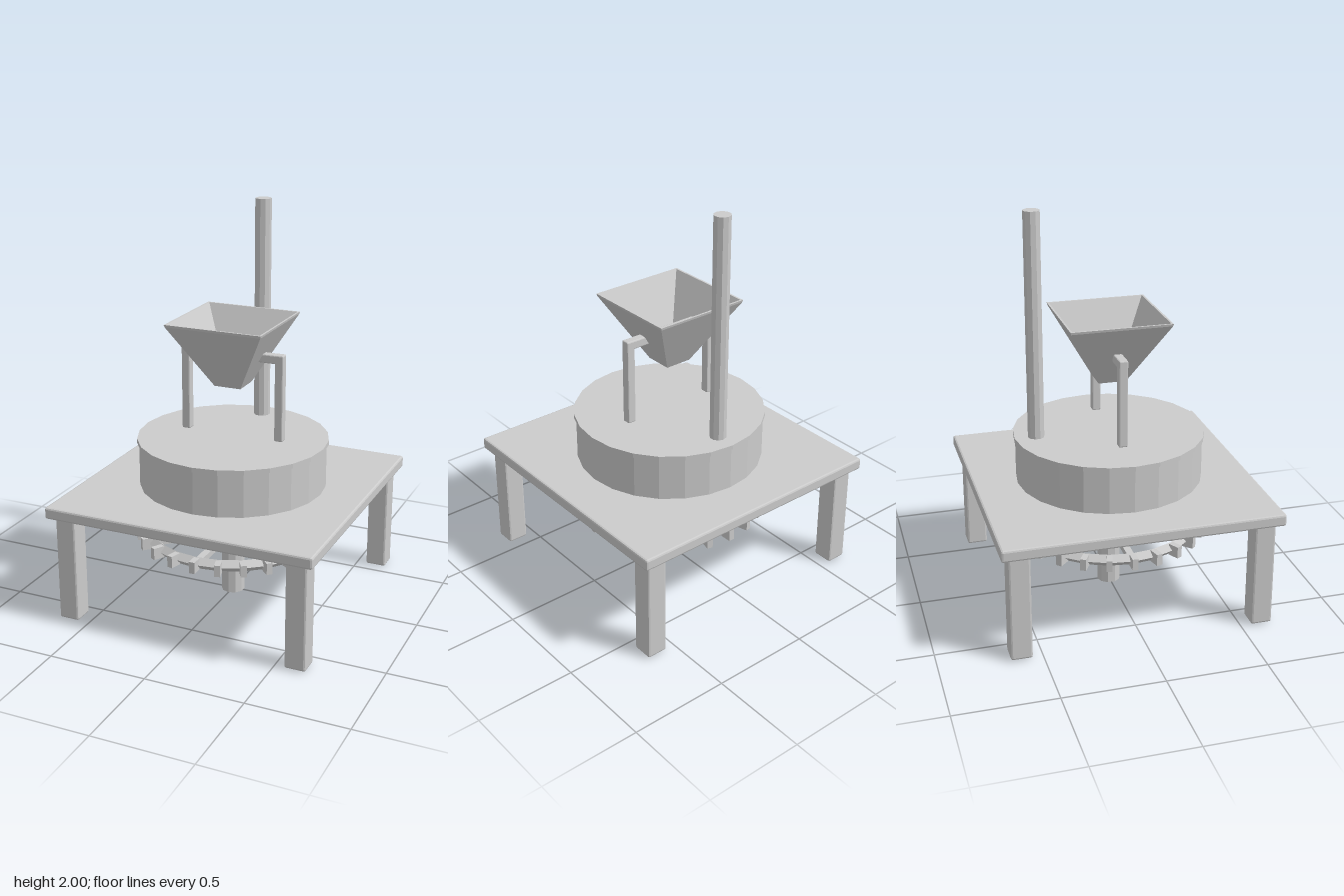
import * as THREE from 'three';
import { RoundedBoxGeometry } from 'three/addons/geometries/RoundedBoxGeometry.js';

const material = new THREE.MeshStandardMaterial({ color: 0xcccccc, flatShading: true });

export function createModel() {
  const model = new THREE.Group();
  model.name = 'millstoneTable';

  const add = (name, geometry, x = 0, y = 0, z = 0, parent = model) => {
    const mesh = new THREE.Mesh(geometry, material);
    mesh.name = name;
    mesh.position.set(x, y, z);
    parent.add(mesh);
    return mesh;
  };
  // Box with slightly chamfered edges
  const block = (w, h, d, bevel) => new RoundedBoxGeometry(w, h, d, 1, bevel);
  // Upright cylinder standing between two heights
  const column = (name, r, y0, y1, sides, z = 0) =>
    add(name, new THREE.CylinderGeometry(r, r, y1 - y0, sides), 0, (y0 + y1) / 2, z);

  // Table with four legs
  add('tableTop', block(1.39, 0.06, 1.39, 0.01), 0, 0.58, 0);
  for (const x of [-0.605, 0.605])
    for (const z of [-0.605, 0.605])
      add('tableLeg', block(0.106, 0.55, 0.106, 0.01), x, 0.28, z);

  // Millstone drum, its lid and the tall handle post
  column('drum', 0.475, 0.6, 0.835, 24);
  column('drumLid', 0.485, 0.832, 0.855, 24);
  column('handlePost', 0.042, 0.84, 2, 10, -0.375);

  // Drive shaft under the table
  column('driveShaft', 0.06, 0, 0.57, 10);

  // Toothed wheel: diamond-section rim, spokes and teeth
  const wheel = new THREE.Group();
  wheel.name = 'gearWheel';
  wheel.position.y = 0.335;
  model.add(wheel);
  add('gearRim', new THREE.TorusGeometry(0.43, 0.03, 4, 24).rotateX(Math.PI / 2), 0, 0, 0, wheel);
  const radial = (name, geometry, r, count) => {
    for (let i = 0; i < count; i++) {
      const a = (i / count) * Math.PI * 2;
      add(name, geometry, Math.cos(a) * r, 0, -Math.sin(a) * r, wheel).rotation.y = a;
    }
  };
  radial('gearSpoke', new THREE.BoxGeometry(0.38, 0.03, 0.035), 0.23, 8);
  radial('gearTooth', new THREE.BoxGeometry(0.06, 0.06, 0.03), 0.465, 24);

  // Square funnel, open at top and bottom: outer wall, rim, inner wall
  const profile = [
    [0.07, 1.13], [0.25, 1.455], [0.253, 1.467], [0.243, 1.467], [0.064, 1.13], [0.07, 1.13],
  ].map(([half, y]) => new THREE.Vector2(half * Math.SQRT2, y));
  add('hopper', new THREE.LatheGeometry(profile, 4).rotateY(Math.PI / 4));

  // Frame carrying the funnel
  add('hopperCrossbar', block(0.55, 0.045, 0.045, 0.006), 0, 1.287, 0);
  for (const x of [-0.253, 0.253])
    add('hopperUpright', block(0.045, 0.445, 0.045, 0.006), x, 1.0875, 0);

  return model;
}
